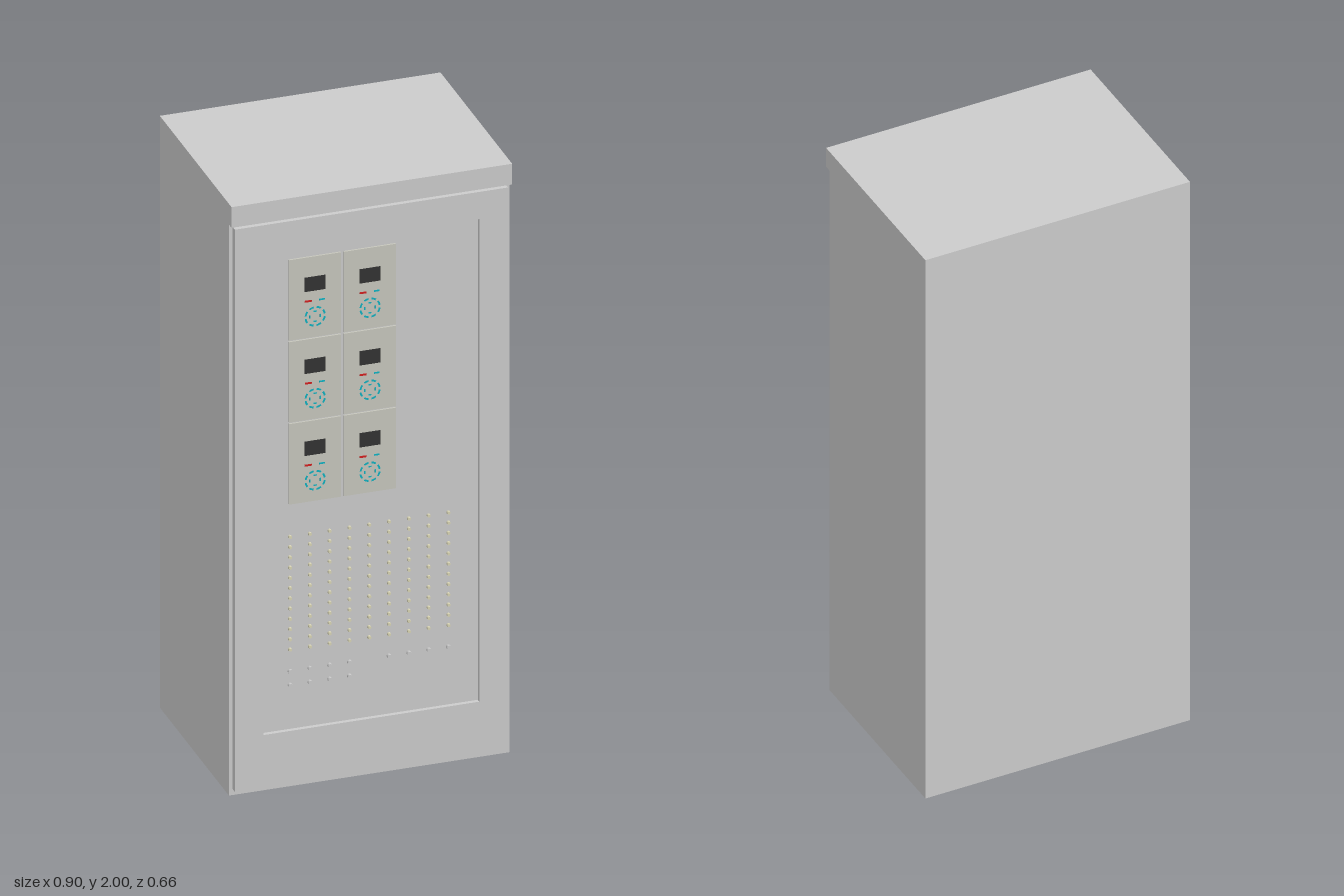
import * as THREE from 'three';

const mat = (color) => new THREE.MeshStandardMaterial({ color });
const grey = mat(0xcccccc);
const panelMat = mat(0xc6c6bc);
const darkMat = mat(0x333333);
const redMat = mat(0xd02020);
const cyanMat = mat(0x10b0c0);
const lampMat = mat(0xd8d4b4);

const FACE = 0.312; // front of the recessed panel

function add(parent, name, geometry, material, x = 0, y = 0, z = 0) {
  const mesh = new THREE.Mesh(geometry, material);
  mesh.name = name;
  mesh.position.set(x, y, z);
  parent.add(mesh);
  return mesh;
}

function rectPoints(x0, y0, x1, y1) {
  return [[x0, y0], [x1, y0], [x1, y1], [x0, y1]].map(([x, y]) => new THREE.Vector2(x, y));
}

// Flat controller with display, indicator lamps and a ring of key segments
function makeController() {
  const g = new THREE.Group();
  g.name = 'controller';
  add(g, 'controllerPlate', new THREE.BoxGeometry(0.166, 0.272, 0.006), panelMat, 0, 0, 0.003);
  add(g, 'display', new THREE.BoxGeometry(0.067, 0.048, 0.002), darkMat, 0, 0.045, 0.0065);
  add(g, 'redLamp', new THREE.BoxGeometry(0.022, 0.006, 0.002), redMat, -0.022, -0.012, 0.0065);
  add(g, 'cyanLamp', new THREE.BoxGeometry(0.018, 0.005, 0.002), cyanMat, 0.022, -0.012, 0.0065);
  for (let i = 0; i < 8; i++) {
    const arc = new THREE.RingGeometry(0.028, 0.034, 6, 1, i * Math.PI / 4 + 0.15, 0.48);
    add(g, 'keySegment', arc, cyanMat, 0, -0.066, 0.0072);
  }
  for (const s of [-1, 1]) {
    add(g, 'keyMark', new THREE.BoxGeometry(0.004, 0.01, 0.002), cyanMat, s * 0.017, -0.066, 0.0065);
    add(g, 'keyMark', new THREE.BoxGeometry(0.01, 0.004, 0.002), cyanMat, 0, -0.066 + s * 0.017, 0.0065);
  }
  return g;
}

export function createModel() {
  const model = new THREE.Group();
  model.name = 'controlCabinet';

  // Cabinet body with overhanging hood, a side profile extruded across x
  const profile = new THREE.Shape([
    [-0.33, 0], [0.306, 0], [0.306, 1.93], [0.33, 1.93], [0.33, 2], [-0.33, 2],
  ].map(([z, y]) => new THREE.Vector2(-z, y)));
  const body = new THREE.ExtrudeGeometry(profile, { depth: 0.9, bevelEnabled: false });
  body.translate(0, 0, -0.45);
  body.rotateY(Math.PI / 2);
  add(model, 'cabinetBody', body, grey);

  // Door frame around the recessed panel
  const frame = new THREE.Shape(rectPoints(-0.438, 0.02, 0.438, 1.92));
  frame.holes.push(new THREE.Path(rectPoints(-0.346, 0.197, 0.346, 1.828)));
  const door = new THREE.ExtrudeGeometry(frame, { depth: 0.02, bevelEnabled: false });
  add(model, 'doorFrame', door, grey, 0, 0, 0.306);
  add(model, 'recessedPanel', new THREE.BoxGeometry(0.692, 1.631, 0.008), grey, 0, 1.0125, FACE - 0.004);

  // Two columns of three controllers
  for (const x of [-0.178, -0.002]) {
    for (let row = 0; row < 3; row++) {
      const c = makeController();
      c.position.set(x, 1.648 - row * 0.277, FACE);
      model.add(c);
    }
  }

  // Grid of indicator lamps
  const colX = (i) => -0.257 + i * 0.0635;
  const lampGeo = new THREE.CylinderGeometry(0.005, 0.006, 0.008, 10).rotateX(Math.PI / 2);
  for (let i = 0; i < 9; i++) {
    for (let j = 0; j < 12; j++) {
      add(model, 'indicatorLamp', lampGeo, lampMat, colX(i), 0.847 - j * 0.0346, FACE + 0.004);
    }
  }

  // Push buttons below the lamps
  const buttonGeo = new THREE.CylinderGeometry(0.007, 0.007, 0.01, 12).rotateX(Math.PI / 2);
  const rows = [[0.393, [0, 1, 2, 3, 5, 6, 7, 8]], [0.346, [0, 1, 2, 3]]];
  for (const [y, cols] of rows) {
    for (const i of cols) add(model, 'pushButton', buttonGeo, grey, colX(i), y, FACE + 0.005);
  }

  return model;
}
